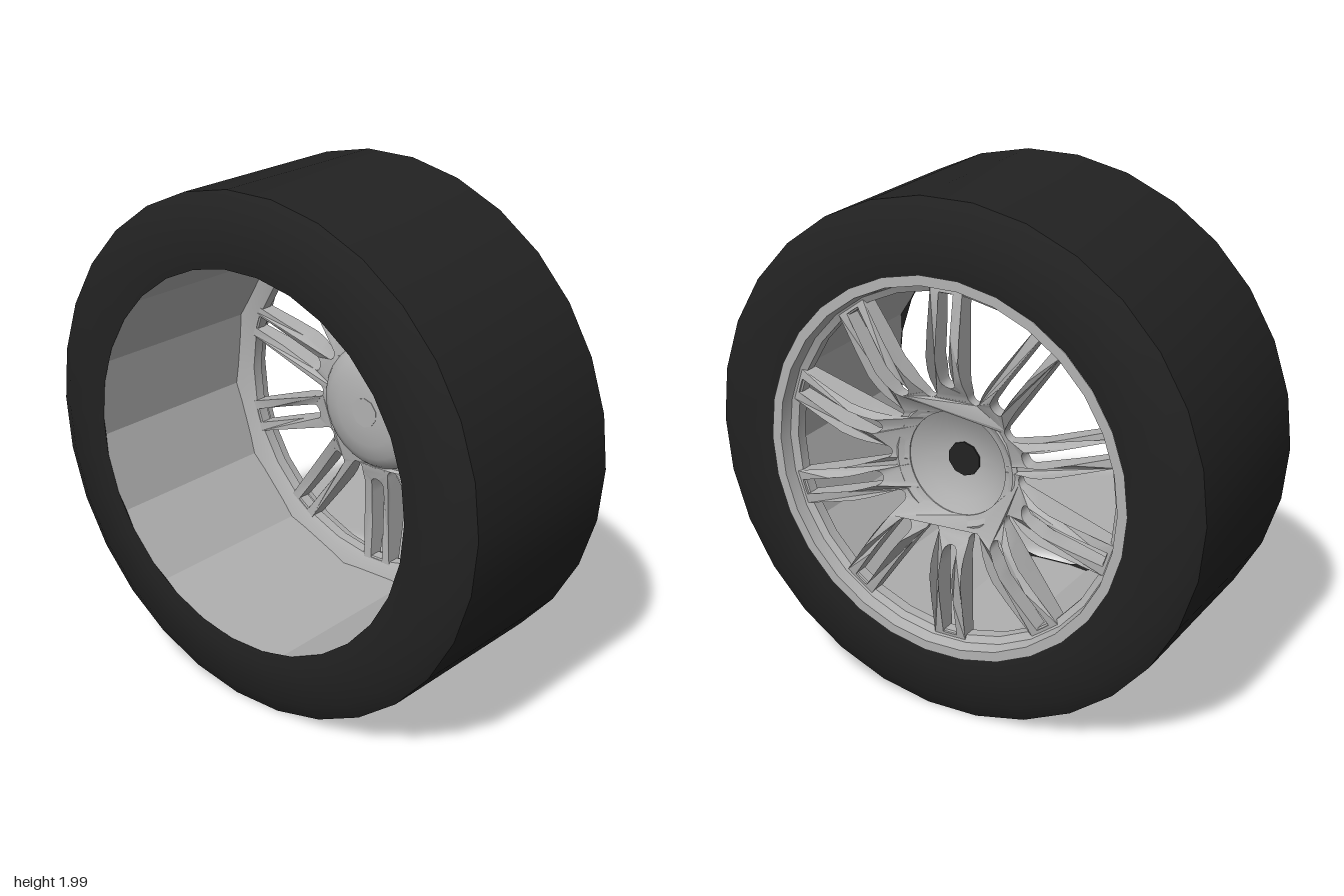
import * as THREE from 'three';
import { toCreasedNormals } from 'three/addons/utils/BufferGeometryUtils.js';

const V = (x, y) => new THREE.Vector2(x, y);

// Piecewise linear lookup in a list of [key, value] pairs
function lerpTable(table, k) {
  if (k <= table[0][0]) return table[0][1];
  for (let i = 1; i < table.length; i++) {
    const [k0, v0] = table[i - 1], [k1, v1] = table[i];
    if (k <= k1) return v0 + (v1 - v0) * (k - k0) / (k1 - k0);
  }
  return table[table.length - 1][1];
}

// Lathe of [radius, z] points around the z axis; startDeg is measured from the bottom
function latheZ(points, sides, startDeg) {
  const g = new THREE.LatheGeometry(points.map(p => V(p[0], p[1])), sides, THREE.MathUtils.degToRad(startDeg));
  return g.rotateX(Math.PI / 2);
}

export function createModel() {
  const rubber = new THREE.MeshStandardMaterial({ color: 0x222222 });
  rubber.name = 'blackRubber';
  const metal = new THREE.MeshStandardMaterial({ color: 0xb2b2b2 });
  metal.name = 'greyMetal';
  const barrelMetal = new THREE.MeshStandardMaterial({ color: 0xb0b0b0, side: THREE.DoubleSide });
  barrelMetal.name = 'greyBarrelMetal';

  const wheel = new THREE.Group();
  wheel.name = 'wheel';
  wheel.position.y = 1;
  const add = (name, geometry, material) => {
    const mesh = new THREE.Mesh(geometry, material);
    mesh.name = name;
    wheel.add(mesh);
    return mesh;
  };

  // Tyre: closed ring with chamfered shoulders
  const side = [[0.73, 0.438], [0.79, 0.445], [0.935, 0.425], [1, 0.388]];
  const tyre = [...side.map(([r, z]) => [r, -z]), ...side.slice().reverse()];
  tyre.push([0.76, 0.41], [0.76, -0.41], [0.73, -0.438]);
  add('tyre', toCreasedNormals(latheZ(tyre, 30, 6), 0.75), rubber);

  // Barrel: coarse faceted tube open to the front
  const barrel = latheZ([[0.745, 0.436], [0.738, -0.35]], 15, 12);
  add('rimBarrel', toCreasedNormals(barrel, 0.2), barrelMetal);

  // Rim lip around the spoke ends
  const lip = [[0.745, -0.31], [0.69, -0.325], [0.662, -0.34], [0.662, -0.385],
    [0.687, -0.4], [0.697, -0.447], [0.735, -0.447]];
  add('rimLip', toCreasedNormals(latheZ(lip, 30, 6), 0.6), metal);

  // Spokes: a ring cut by ten narrow slots and ten wedge gaps, then bent along its radius
  const steps = [0.3, 0.34, 0.38, 0.43, 0.52, 0.6, 0.664];
  const ring = new THREE.Shape();
  ring.absarc(0, 0, 0.7, 0, Math.PI * 2, false);
  const centre = new THREE.Path();
  centre.absarc(0, 0, 0.2, 0, Math.PI * 2, true);
  ring.holes.push(centre);

  // Cuts a mirrored hole whose half width at radius t is halfWidth(t), with a round inner end
  function cutHole(angle, halfWidth, tStart) {
    const ts = [tStart, ...steps.filter(t => t > tStart + 0.015)];
    const w0 = halfWidth(tStart);
    const pts = ts.map(t => V(t, halfWidth(t))).reverse();
    for (let i = 1; i < 6; i++) {
      const a = Math.PI / 2 + Math.PI * i / 6;
      pts.push(V(tStart + w0 * Math.cos(a), w0 * Math.sin(a)));
    }
    pts.push(...ts.map(t => V(t, -halfWidth(t))));
    // Curved outer end follows the rim
    const end = halfWidth(0.664);
    pts.push(V(0.664 + end * end * 0.7, -end * 0.4), V(0.664 + end * end * 0.7, end * 0.4));
    const origin = V(0, 0);
    ring.holes.push(new THREE.Path(pts.map(p => p.rotateAround(origin, angle))));
  }
  const half = Math.PI / 10, barEdge = 0.065;
  for (let i = 0; i < 10; i++) {
    const a = Math.PI / 2 + i * Math.PI / 5;
    cutHole(a, () => 0.029, 0.335);
    cutHole(a + half, t => t * Math.tan(half) - barEdge / Math.cos(half), 0.29);
  }

  const spokes = new THREE.ExtrudeGeometry(ring, { depth: 1, bevelEnabled: false, curveSegments: 60 });
  const backZ = [[0.2, -0.335], [0.25, -0.345], [0.3, -0.372], [0.36, -0.415], [0.43, -0.432], [0.52, -0.422], [0.7, -0.392]];
  const depth = [[0.2, 0.03], [0.25, 0.035], [0.3, 0.05], [0.38, 0.08], [0.52, 0.08], [0.7, 0.06]];
  const pos = spokes.attributes.position;
  for (let i = 0; i < pos.count; i++) {
    const r = Math.hypot(pos.getX(i), pos.getY(i));
    pos.setZ(i, lerpTable(backZ, r) + pos.getZ(i) * lerpTable(depth, r));
  }
  add('spokes', toCreasedNormals(spokes, 0.6), metal);

  // Hub: thin dish, domed to the front and hollow at the back
  const hub = [[0, -0.277], [0.07, -0.277], [0.15, -0.302], [0.21, -0.335], [0.24, -0.352], [0.256, -0.345],
    [0.252, -0.318], [0.235, -0.295], [0.2, -0.272], [0.14, -0.254], [0.07, -0.247], [0, -0.246]];
  add('hub', toCreasedNormals(latheZ(hub, 30, 0), 0.8), metal);

  // Axle details: dark socket at the back, small cap at the front
  const disc = (radius, length, z) =>
    new THREE.CylinderGeometry(radius, radius, length, 10).rotateX(Math.PI / 2).translate(0, 0, z);
  add('axleSocket', disc(0.066, 0.009, -0.279), rubber);
  add('axleCap', disc(0.06, 0.008, -0.248), metal);

  const model = new THREE.Group();
  model.name = 'wheelModel';
  model.add(wheel);
  return model;
}
